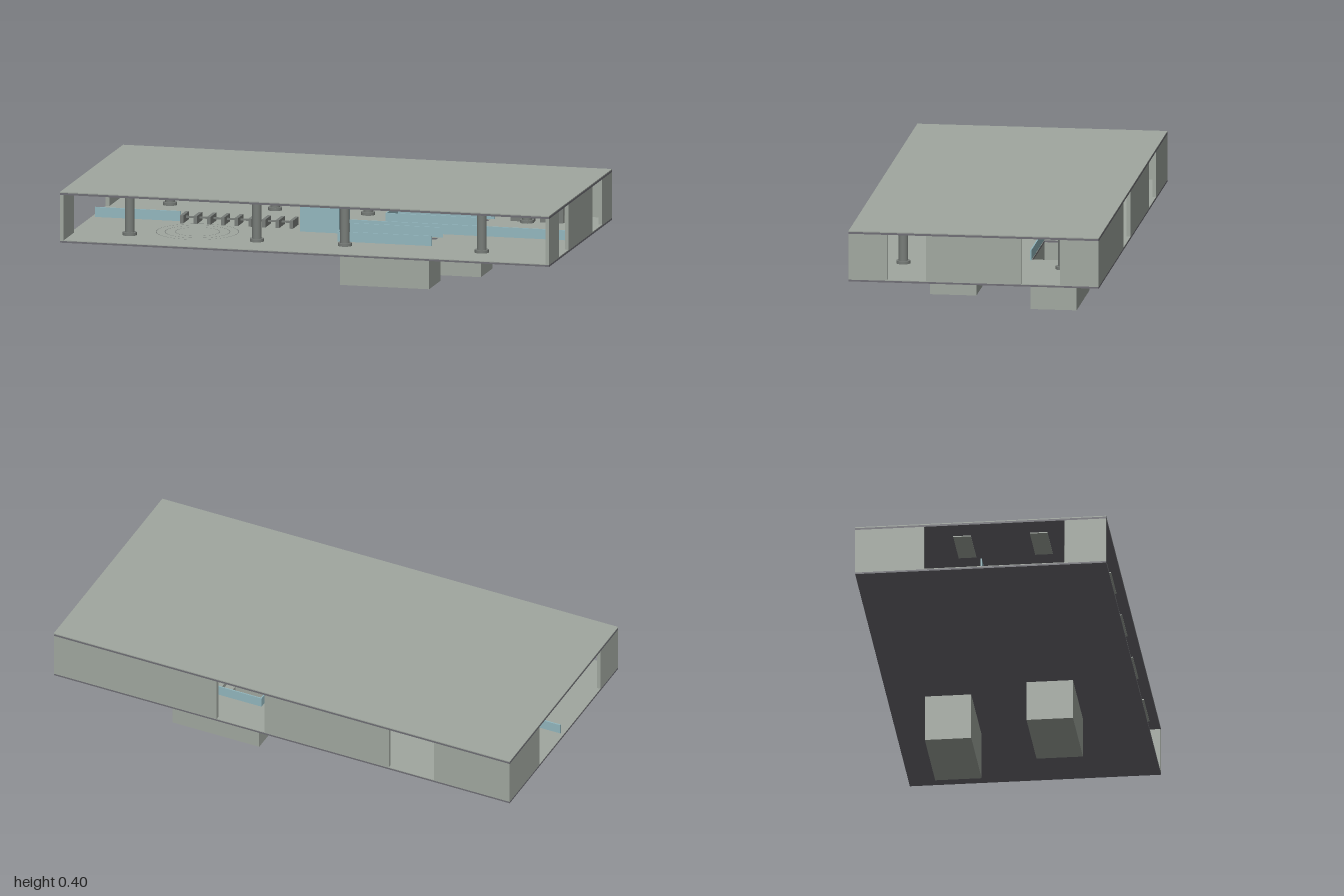
import * as THREE from 'three';

export function createModel() {
  const model = new THREE.Group();
  const material = (name, color, side = THREE.FrontSide) => {
    const m = new THREE.MeshStandardMaterial({ color, side });
    m.name = name;
    return m;
  };
  const stone = material('pale stone', 0xa0a79f);
  const slab = material('dark slab', 0x6e6d74);
  const metal = material('grey metal', 0x777c78);
  const dark = material('dark panel', 0x62656a);
  const glass = material('blue glass', 0x92b6bd);

  const add = (name, geometry, mat, x = 0, y = 0, z = 0, parent = model) => {
    const mesh = new THREE.Mesh(geometry, mat);
    mesh.name = name;
    mesh.position.set(x, y, z);
    parent.add(mesh);
    return mesh;
  };
  // Box given by its limits on each axis
  const box = (name, mat, [x0, x1], [y0, y1], [z0, z1], parent = model) =>
    add(name, new THREE.BoxGeometry(x1 - x0, y1 - y0, z1 - z0), mat,
      (x0 + x1) / 2, (y0 + y1) / 2, (z0 + z1) / 2, parent);

  const FLOOR = 0.2, CEILING = 0.383;
  const shafts = [
    { x: [0.08, 0.445], z: [0.065, 0.25], base: 0.025 },
    { x: [0.17, 0.55], z: [-0.35, -0.165], base: 0 },
  ];

  // Floor layers with an opening above each stair shaft
  const plate = (depth) => {
    const shape = new THREE.Shape([[-1, -0.5], [1, -0.5], [1, 0.5], [-1, 0.5]]
      .map(([x, y]) => new THREE.Vector2(x, y)));
    for (const { x, z } of shafts) {
      const t = 0.006;
      shape.holes.push(new THREE.Path([
        [x[0] + t, -z[0] - t], [x[1] - t, -z[0] - t], [x[1] - t, -z[1] + t], [x[0] + t, -z[1] + t],
      ].map(([a, b]) => new THREE.Vector2(a, b))));
    }
    return new THREE.ExtrudeGeometry(shape, { depth, bevelEnabled: false }).rotateX(-Math.PI / 2);
  };
  add('floorSlab', plate(0.007), slab, 0, 0.19, 0);
  add('floorFinish', plate(0.003), stone, 0, 0.197, 0);

  // Roof
  box('roofSlab', slab, [-1, 1], [CEILING, 0.391], [-0.5, 0.5]);
  box('roofFinish', stone, [-1, 1], [0.391, 0.395], [-0.5, 0.5]);

  // Outer walls with doorways; the front stays open
  const W = 0.015, height = [FLOOR, CEILING];
  for (const span of [[-1, -0.667], [-0.47, 0.076], [0.285, 1]])
    box('backWall', stone, span, height, [-0.5, -0.5 + W]);
  for (const span of [[-0.485, -0.345], [-0.19, 0.19], [0.345, 0.5]])
    box('leftSideWall', stone, [1 - W, 1], height, span);
  for (const span of [[-0.485, -0.225], [0.335, 0.5]])
    box('rightSideWall', stone, [-1, -1 + W], height, span);

  // Stair shafts below the floor, with steps and glass railings
  for (const { x, z, base } of shafts) {
    const shaft = new THREE.Group();
    shaft.name = 'stairShaft';
    model.add(shaft);
    const t = 0.006, h = [base, 0.19];
    box('shaftBottom', stone, x, [base, base + t], z, shaft);
    for (const zs of [[z[0], z[0] + t], [z[1] - t, z[1]]]) box('shaftLongWall', stone, x, h, zs, shaft);
    for (const xs of [[x[0], x[0] + t], [x[1] - t, x[1]]])
      box('shaftEndWall', stone, xs, h, [z[0] + t, z[1] - t], shaft);
    const steps = 10, run = (x[1] - x[0] - 2 * t) / steps;
    for (let i = 0; i < steps; i++)
      box('step', stone, [x[0] + t + i * run, x[0] + t + (i + 1) * run],
        [base + t, base + t + (i + 1) * (0.185 - base) / steps], [z[0] + t, z[1] - t], shaft);
    const g = [FLOOR, 0.24];
    for (const zs of [[z[0], z[0] + 0.005], [z[1] - 0.005, z[1]]])
      box('longRailing', glass, [x[0] - 0.01, x[1] + 0.01], g, zs, shaft);
    box('endRailing', glass, [x[0] - 0.01, x[0] - 0.005], g, z, shaft);
  }

  // Round columns with base collars
  const columnShape = new THREE.CylinderGeometry(0.019, 0.019, CEILING - FLOOR, 20);
  const collarShape = new THREE.CylinderGeometry(0.028, 0.028, 0.012, 20);
  const columns = [[-0.76, 0.325], [-0.24, 0.325], [0.12, 0.325], [0.68, 0.325],
    [-0.76, -0.315], [-0.33, -0.315], [0.05, -0.315], [0.7, -0.315]];
  for (const [x, z] of columns) {
    add('column', columnShape, metal, x, (FLOOR + CEILING) / 2, z);
    add('columnCollar', collarShape, metal, x, FLOOR + 0.006, z);
  }

  // Glass barriers across the hall
  for (const span of [[-0.985, -0.635], [0.04, 0.985]])
    box('glassBarrier', glass, span, [FLOOR, 0.24], [-0.003, 0.003]);

  // Ticket gates between the barriers
  for (let i = 0; i < 9; i++) {
    const x = -0.62 + i * 0.056;
    box('gate', metal, [x - 0.007, x + 0.007], [FLOOR, 0.232], [-0.045, 0.045]);
    if (i < 8) box('gateArm', metal, [x + 0.007, x + 0.049], [0.215, 0.222], [-0.004, 0.004]);
  }

  // Glazed booth
  box('boothGlass', glass, [-0.125, 0.035], [FLOOR, 0.302], [-0.09, 0.09]);
  box('boothRoof', dark, [-0.13, 0.04], [0.302, 0.318], [-0.095, 0.095]);

  // Ticket machines near the back
  for (const span of [[0.63, 0.725], [0.75, 0.845]]) {
    box('machineBody', metal, span, [FLOOR, 0.295], [-0.35, -0.328]);
    box('machineHead', dark, span, [0.295, 0.32], [-0.35, -0.326]);
  }

  // Small desk terminals
  for (let i = 0; i < 4; i++) {
    const x = -0.915 + i * 0.033;
    box('terminalStand', metal, [x - 0.004, x + 0.004], [FLOOR, 0.247], [-0.42, -0.41]);
    box('terminal', dark, [x - 0.012, x + 0.012], [0.245, 0.263], [-0.425, -0.405]);
  }

  // Hanging boards
  for (const [x0, x1] of [[-0.6, -0.27], [0.13, 0.42]]) {
    box('hangingBoard', dark, [x0, x1], [0.325, 0.35], [-0.41, -0.395]);
    for (const x of [x0 + 0.05, x1 - 0.05])
      box('boardHanger', metal, [x - 0.002, x + 0.002], [0.35, CEILING], [-0.405, -0.4]);
  }

  // Ceiling panels
  for (const x of [-0.8, -0.4, 0, 0.4, 0.8])
    for (const z of [-0.4, -0.085, 0.22, 0.43])
      box('ceilingPanel', stone, [x - 0.1, x + 0.1], [0.379, CEILING], [z - 0.035, z + 0.035]);

  // Ring pattern on the floor
  for (const r of [0.09, 0.13, 0.165])
    add('floorRing', new THREE.RingGeometry(r - 0.003, r, 48).rotateX(-Math.PI / 2), metal, -0.515, FLOOR + 0.001, 0.2);

  return model;
}
